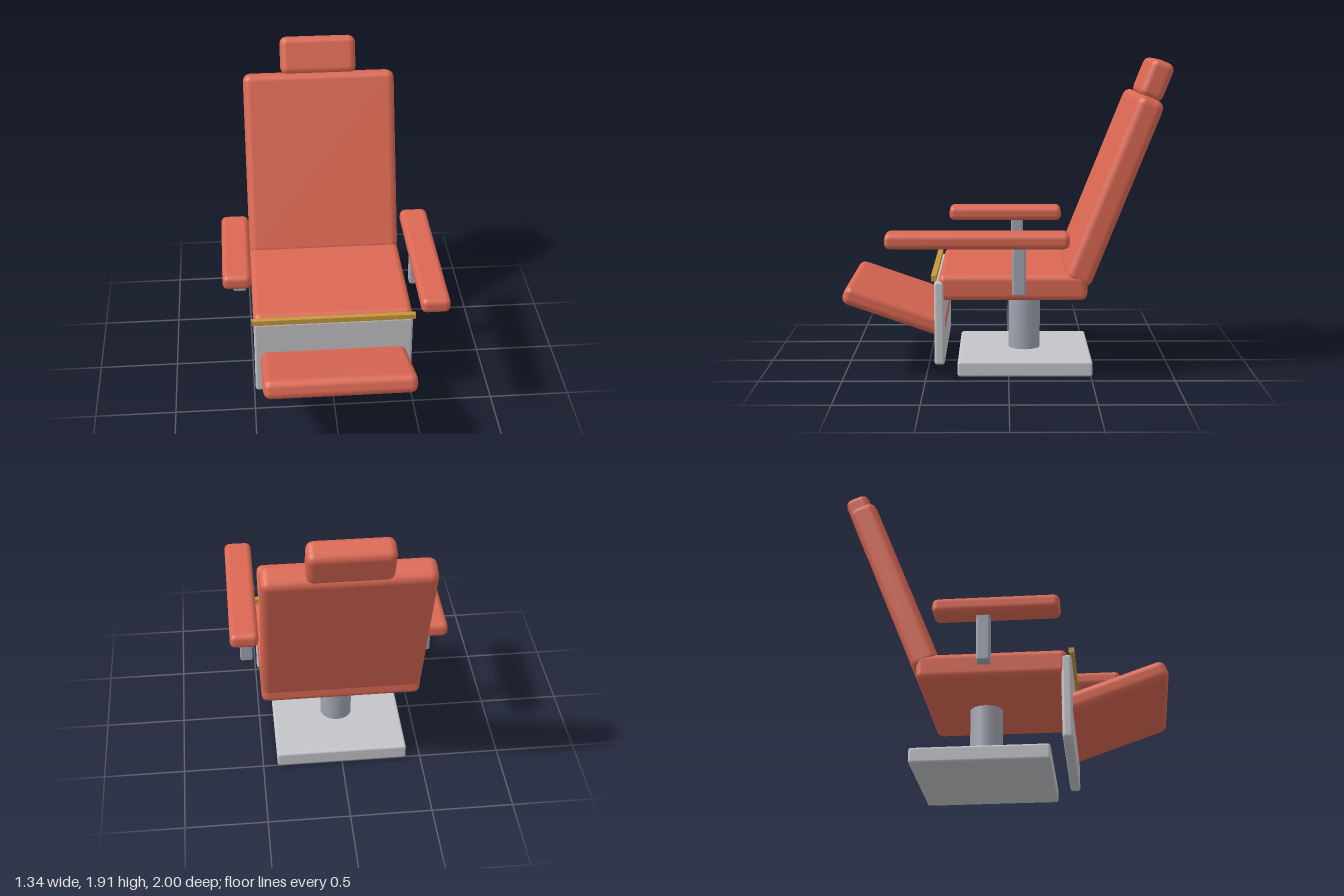
import * as THREE from 'three';
import { RoundedBoxGeometry } from 'three/addons/geometries/RoundedBoxGeometry.js';

function material(name, color) {
  const m = new THREE.MeshStandardMaterial({ color });
  m.name = name;
  return m;
}

export function createModel() {
  const chair = new THREE.Group();
  chair.name = 'recliningChair';

  const leather = material('coral leather', 0xdb6853);
  const enamel = material('light grey enamel', 0xc4c5c9);
  const steel = material('blue grey steel', 0xa2a5b2);
  const brass = material('brass', 0xc6993a);

  const add = (name, geometry, mat, x, y, z, tilt = 0) => {
    const mesh = new THREE.Mesh(geometry, mat);
    mesh.name = name;
    mesh.position.set(x, y, z);
    mesh.rotation.x = tilt;
    chair.add(mesh);
    return mesh;
  };
  const rounded = (w, h, d, r) => new RoundedBoxGeometry(w, h, d, 2, r);

  // Pedestal
  add('base', rounded(0.82, 0.095, 0.82, 0.015), enamel, 0, 0.0525, -0.1);
  add('column', new THREE.CylinderGeometry(0.1, 0.1, 0.37, 20), steel, 0, 0.285, -0.1);

  // Cushions
  const recline = -0.38;
  add('seat', rounded(0.985, 0.16, 0.89, 0.04), leather, 0, 0.57, -0.025);
  add('backrest', rounded(0.985, 1.19, 0.165, 0.05), leather, 0, 1.14, -0.625, recline);
  add('headrest', rounded(0.49, 0.245, 0.15, 0.045), leather, 0, 1.79, -0.895, recline);
  add('footrest', rounded(0.91, 0.12, 0.645, 0.045), leather, 0, 0.42, 0.688, -0.335);

  // Front panel with its trim strip
  add('frontPanel', rounded(0.985, 0.51, 0.062, 0.018), enamel, 0, 0.355, 0.414);
  add('trimStrip', new THREE.BoxGeometry(1.01, 0.032, 0.032), brass, 0, 0.631, 0.446);

  // Armrests share their back end; the left one reaches further forward
  const armBack = -0.355;
  for (const [name, side, front] of [['left', 1, 0.725], ['right', -1, 0.39]]) {
    add(name + 'Armrest', rounded(0.175, 0.095, front - armBack, 0.035), leather,
      side * 0.582, 0.877, (front + armBack) / 2);
    add(name + 'ArmPost', rounded(0.08, 0.3, 0.08, 0.012), steel, side * 0.568, 0.695, -0.06);
  }

  return chair;
}
